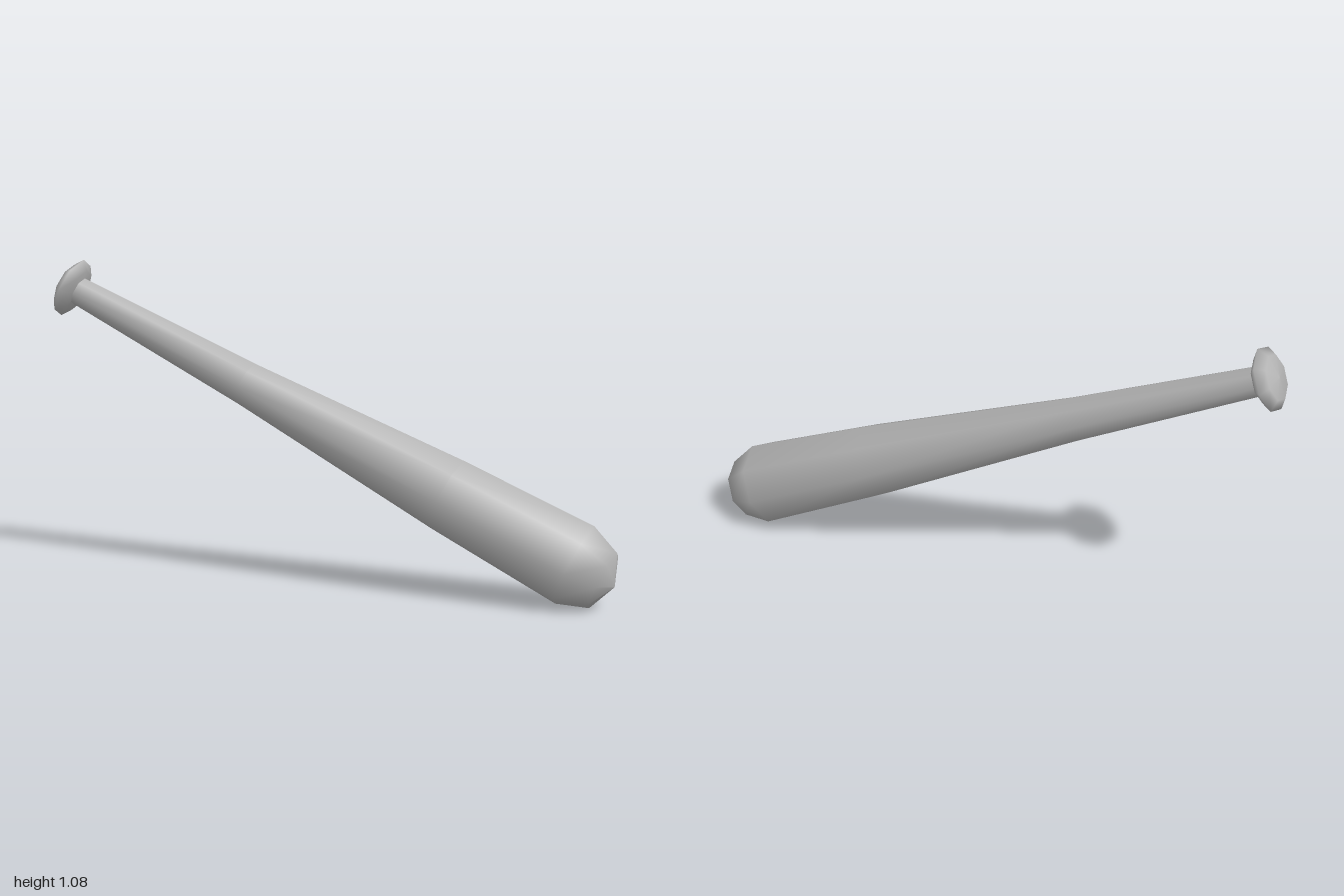
import * as THREE from 'three';

const SIDES = 8;

export function createModel() {
  const group = new THREE.Group();
  group.name = 'bat';
  const grey = new THREE.MeshStandardMaterial({ color: 0xb4b4b4 });
  grey.name = 'plain grey';

  // Smooth eight-sided part turned around the bat's long axis
  const turned = (name, profile) => {
    const points = profile.map(([r, y]) => new THREE.Vector2(r, y));
    const mesh = new THREE.Mesh(new THREE.LatheGeometry(points, SIDES), grey);
    mesh.name = name;
    return mesh;
  };

  // Axis starts at the centre of the barrel's rounded end and runs up to the knob
  const bat = new THREE.Group();
  bat.name = 'tiltedBat';

  // Rounded tip, barrel and tapering handle
  bat.add(turned('barrelAndHandle', [
    [0, -0.148], [0.105, -0.105], [0.148, 0],
    [0.13, 0.478], [0.077, 1.27], [0.05, 1.975],
  ]));

  // Flattened round knob
  const knob = turned('knob', [
    [0, -0.036], [0.076, -0.026], [0.108, 0], [0.076, 0.026], [0, 0.036],
  ]);
  knob.position.y = 1.988;
  bat.add(knob);

  // Lean the bat so the knob is high on -x and the barrel rests low on +x
  bat.rotation.z = THREE.MathUtils.degToRad(65);
  bat.position.set(0.86, 0.139, 0);
  group.add(bat);
  return group;
}
